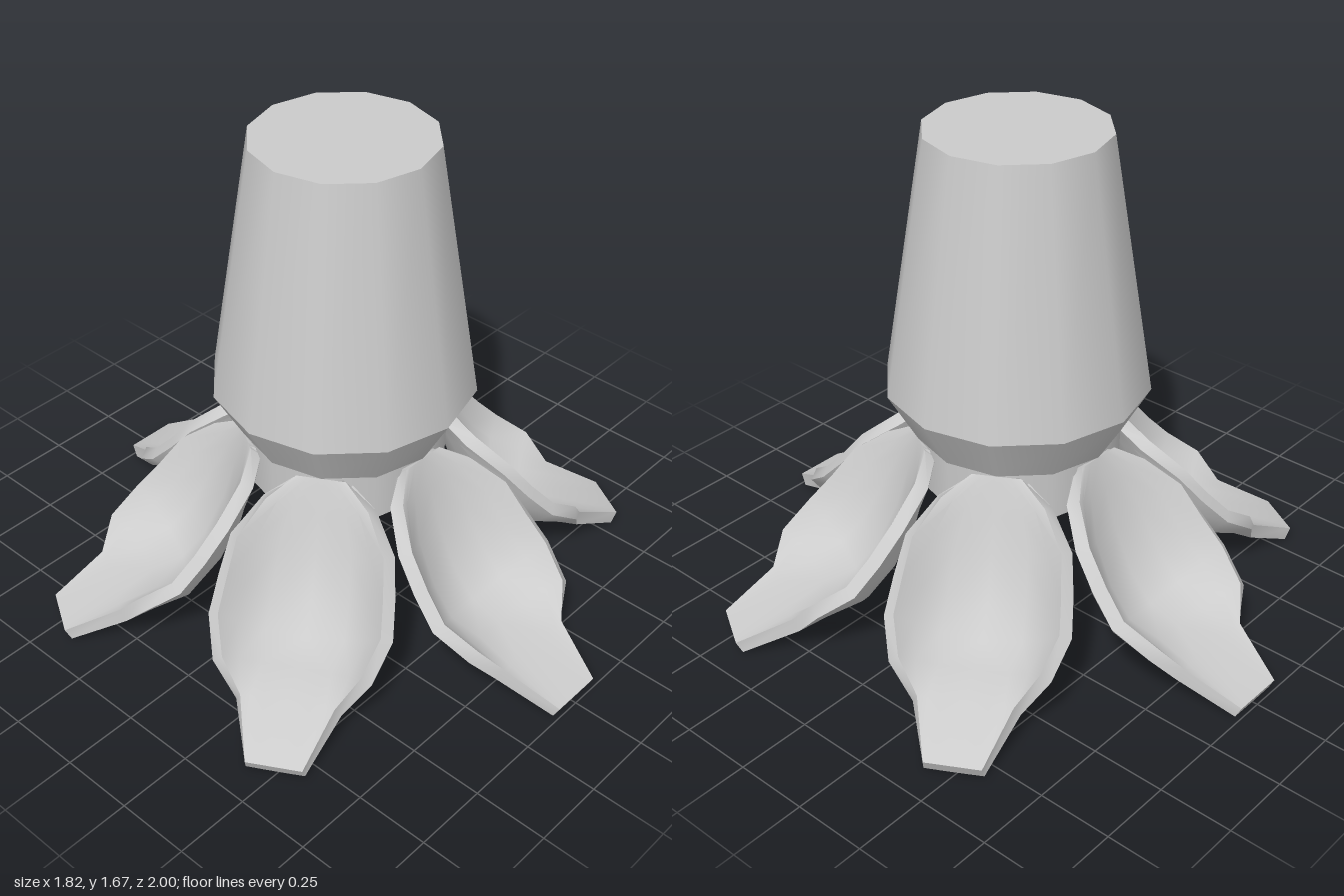
import * as THREE from 'three';
import { toCreasedNormals } from 'three/addons/utils/BufferGeometryUtils.js';

const SIDES = 12;

// Petal stations from root to tip: centre r, centre y, edge r, edge half width, edge y
const STATIONS = [
  [0.34, 0.64, 0.34, 0.08, 0.64],
  [0.375, 0.54, 0.40, 0.165, 0.58],
  [0.42, 0.40, 0.50, 0.235, 0.49],
  [0.49, 0.26, 0.58, 0.25, 0.39],
  [0.57, 0.175, 0.66, 0.26, 0.305],
  [0.68, 0.145, 0.765, 0.22, 0.23],
  [0.81, 0.13, 0.82, 0.15, 0.135],
  [1.0, 0.04, 1.0, 0.09, 0.04],
];
const ACROSS = [-1, -0.8, -0.5, 0, 0.5, 0.8, 1];
const THICKNESS = 0.045;

// Cupped shell: upper sheet, lower sheet offset along its normals, and a rim
function petalGeometry() {
  const rows = STATIONS.length, cols = ACROSS.length, count = rows * cols;
  const points = [], upper = [];
  for (const [cr, cy, er, ew, ey] of STATIONS) {
    for (const t of ACROSS) {
      const k = Math.abs(t) ** 2.5;
      points.push(t * ew, cy + (ey - cy) * k, cr + (er - cr) * k);
    }
  }
  for (let i = 0; i < rows - 1; i++) {
    for (let j = 0; j < cols - 1; j++) {
      const a = i * cols + j, b = a + cols;
      // Mirrored diagonals keep both halves alike
      if (j < cols / 2 - 1) upper.push(a, b, a + 1, a + 1, b, b + 1);
      else upper.push(a, b, b + 1, a, b + 1, a + 1);
    }
  }
  const sheet = new THREE.BufferGeometry();
  sheet.setAttribute('position', new THREE.Float32BufferAttribute(points, 3));
  sheet.setIndex(upper);
  sheet.computeVertexNormals();
  const normals = sheet.attributes.normal.array;
  const all = points.concat(points.map((p, i) => p - normals[i] * THICKNESS));

  const index = [...upper];
  for (let i = 0; i < upper.length; i += 3) {
    index.push(upper[i] + count, upper[i + 2] + count, upper[i + 1] + count);
  }
  const rim = [];
  for (let i = 0; i < rows; i++) rim.push(i * cols);
  for (let j = 1; j < cols; j++) rim.push((rows - 1) * cols + j);
  for (let i = rows - 2; i >= 0; i--) rim.push(i * cols + cols - 1);
  for (let j = cols - 2; j > 0; j--) rim.push(j);
  rim.forEach((a, i) => {
    const b = rim[(i + 1) % rim.length];
    index.push(a, a + count, b, b, a + count, b + count);
  });

  const geometry = new THREE.BufferGeometry();
  geometry.setAttribute('position', new THREE.Float32BufferAttribute(all, 3));
  geometry.setIndex(index);
  return toCreasedNormals(geometry, 0.75);
}

export function createModel() {
  const model = new THREE.Group();
  const material = new THREE.MeshStandardMaterial({ color: 0xcccccc });

  const add = (name, geometry, y = 0) => {
    const mesh = new THREE.Mesh(geometry, material);
    mesh.name = name;
    mesh.position.y = y;
    model.add(mesh);
    return mesh;
  };
  const ring = (name, top, bottom, y0, y1) =>
    add(name, new THREE.CylinderGeometry(top, bottom, y1 - y0, SIDES, 1, true), (y0 + y1) / 2);
  const cap = (name, radius, y, tilt) => {
    add(name, new THREE.CircleGeometry(radius, SIDES), y).rotation.x = tilt;
  };

  // Tapered body with a narrowing collar and a short core between the petals
  ring('body', 0.297, 0.435, 0.81, 1.67);
  ring('collar', 0.435, 0.34, 0.64, 0.81);
  ring('core', 0.34, 0.335, 0.47, 0.64);
  cap('bodyTop', 0.297, 1.67, -Math.PI / 2);
  cap('coreBottom', 0.335, 0.47, Math.PI / 2);

  // Six splayed petals
  const petal = petalGeometry();
  for (let i = 0; i < 6; i++) {
    add('petal' + (i + 1), petal).rotation.y = (i * Math.PI) / 3;
  }
  return model;
}
